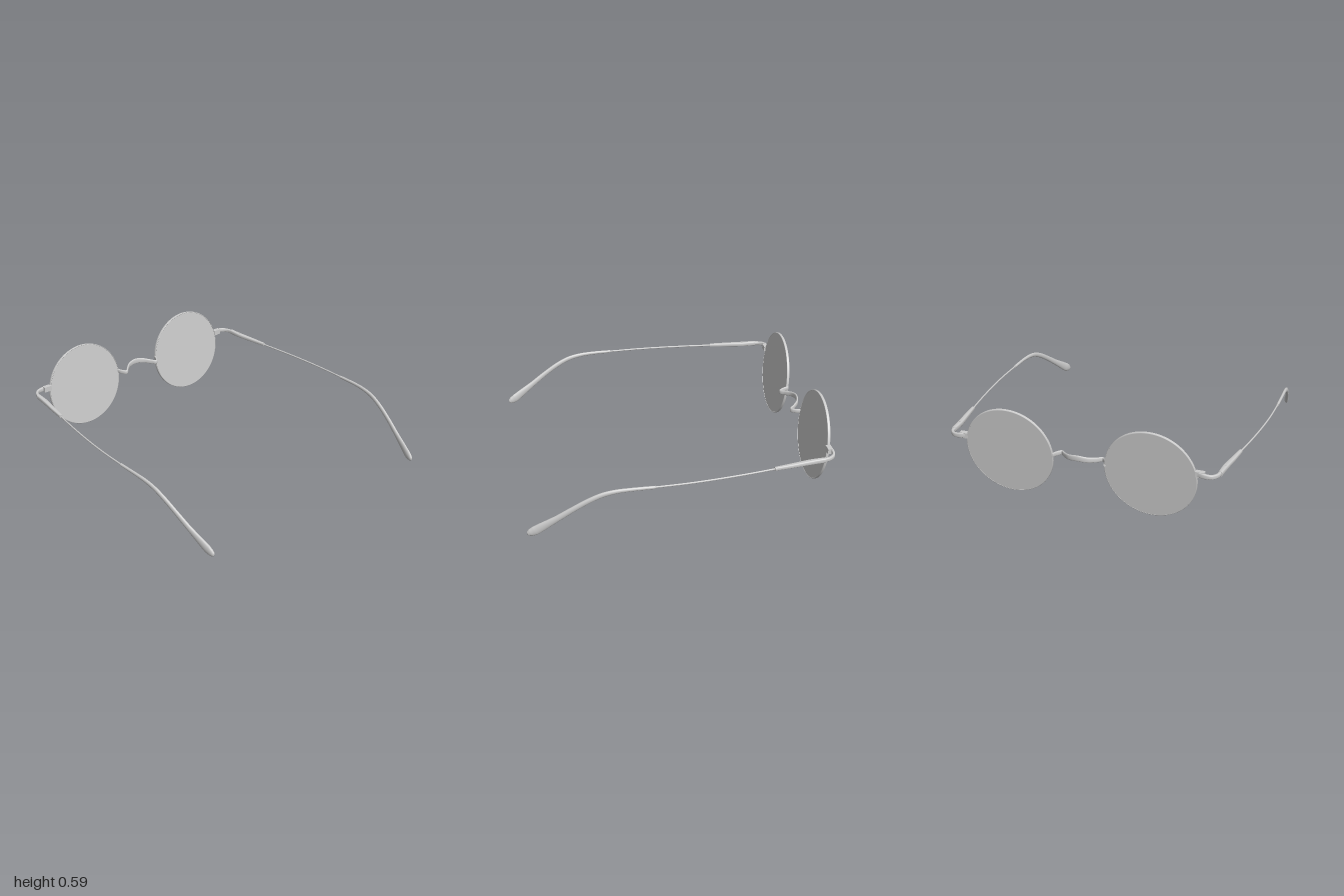
import * as THREE from 'three';

const frameMat = new THREE.MeshStandardMaterial({ color: 0xcccccc });
const lensMat = new THREE.MeshStandardMaterial({ color: 0xcccccc, side: THREE.DoubleSide });
const UP = new THREE.Vector3(0, 1, 0);

// Sweeps a rounded section along stations [x, y, z, halfWidth, halfHeight].
// power < 1 makes the section boxier.
function sweep(name, stations, { steps = 8, sides = 16, power = 1 } = {}) {
  const curve = new THREE.CatmullRomCurve3(stations.map(s => new THREE.Vector3(s[0], s[1], s[2])));
  const n = (stations.length - 1) * steps;
  const pos = [], idx = [];
  const soft = v => Math.sign(v) * Math.pow(Math.abs(v), power);
  const ring = t => {
    const f = t * (stations.length - 1);
    const i = Math.min(Math.floor(f), stations.length - 2);
    const w = THREE.MathUtils.lerp(stations[i][3], stations[i + 1][3], f - i);
    const h = THREE.MathUtils.lerp(stations[i][4], stations[i + 1][4], f - i);
    const p = curve.getPoint(t), tan = curve.getTangent(t);
    const side = UP.clone().cross(tan).normalize();
    const vert = tan.clone().cross(side);
    for (let k = 0; k < sides; k++) {
      const a = (k / sides) * Math.PI * 2;
      const q = p.clone().addScaledVector(side, w * soft(Math.cos(a))).addScaledVector(vert, h * soft(Math.sin(a)));
      pos.push(q.x, q.y, q.z);
    }
    return p;
  };
  for (let j = 0; j <= n; j++) ring(j / n);
  for (let j = 0; j < n; j++) {
    for (let k = 0; k < sides; k++) {
      const a = j * sides + k, b = j * sides + (k + 1) % sides;
      idx.push(a, b, a + sides, b, b + sides, a + sides);
    }
  }
  // end caps on their own vertices so the edges stay sharp
  for (const end of [0, 1]) {
    const start = pos.length / 3;
    const c = ring(end);
    pos.push(c.x, c.y, c.z);
    for (let k = 0; k < sides; k++) {
      const a = start + k, b = start + (k + 1) % sides;
      if (end) idx.push(start + sides, a, b);
      else idx.push(start + sides, b, a);
    }
  }
  const geo = new THREE.BufferGeometry();
  geo.setAttribute('position', new THREE.Float32BufferAttribute(pos, 3));
  geo.setIndex(idx);
  geo.computeVertexNormals();
  const mesh = new THREE.Mesh(geo, frameMat);
  mesh.name = name;
  return mesh;
}

// Tilted round lens, almost flush with its thin rim
function lensUnit(s) {
  const unit = new THREE.Group();
  unit.name = 'lensAndRim';
  const lens = new THREE.Mesh(new THREE.CylinderGeometry(0.29, 0.29, 0.015, 72), lensMat);
  lens.name = 'lens';
  const section = [[0.289, -0.009], [0.292, -0.009], [0.294, -0.006], [0.294, 0.006], [0.292, 0.009], [0.289, 0.009], [0.289, -0.009]];
  const rim = new THREE.Mesh(new THREE.LatheGeometry(section.map(p => new THREE.Vector2(...p)), 72), frameMat);
  rim.name = 'rim';
  unit.add(lens, rim);
  unit.rotation.x = Math.PI / 2 - 0.105;
  unit.position.set(s * 0.4625, 0.298, -0.952);
  return unit;
}

// Everything on one side: lens, end piece, hinge and temple
function sidePiece(s) {
  const g = new THREE.Group();
  g.name = s > 0 ? 'leftSide' : 'rightSide';
  const m = list => list.map(p => [s * p[0], ...p.slice(1)]);
  g.add(lensUnit(s));

  // block holding the rim
  const block = new THREE.Mesh(new THREE.BoxGeometry(0.055, 0.036, 0.032), frameMat);
  block.name = 'rimBlock';
  block.position.set(s * 0.772, 0.357, -0.956);
  g.add(block);

  g.add(sweep('endPiece', m([
    [0.755, 0.358, -0.962, 0.009, 0.018],
    [0.80, 0.355, -0.970, 0.009, 0.016],
    [0.84, 0.352, -0.963, 0.009, 0.014],
    [0.868, 0.350, -0.932, 0.010, 0.013],
    [0.879, 0.349, -0.88, 0.012, 0.013],
  ]), { power: 0.6 }));

  g.add(sweep('hingeArm', m([
    [0.878, 0.349, -0.90, 0.014, 0.016],
    [0.884, 0.347, -0.80, 0.017, 0.015],
    [0.900, 0.345, -0.68, 0.015, 0.013],
    [0.915, 0.343, -0.56, 0.011, 0.011],
  ]), { power: 0.6 }));

  // small hinge screw
  const screw = new THREE.Mesh(new THREE.CylinderGeometry(0.007, 0.007, 0.033, 12), frameMat);
  screw.name = 'hingeScrew';
  screw.position.set(s * 0.885, 0.347, -0.80);
  g.add(screw);

  g.add(sweep('templeWire', m([
    [0.914, 0.342, -0.57, 0.005, 0.006],
    [0.936, 0.339, -0.40, 0.005, 0.006],
    [0.956, 0.336, -0.20, 0.005, 0.006],
    [0.968, 0.333, 0.0, 0.005, 0.006],
    [0.970, 0.330, 0.22, 0.005, 0.006],
  ])));

  // gently bent cover, flaring into a paddle at the end
  g.add(sweep('templeTip', m([
    [0.970, 0.330, 0.20, 0.009, 0.010],
    [0.967, 0.328, 0.35, 0.009, 0.012],
    [0.962, 0.321, 0.44, 0.010, 0.014],
    [0.956, 0.303, 0.52, 0.010, 0.016],
    [0.947, 0.267, 0.60, 0.011, 0.017],
    [0.932, 0.206, 0.70, 0.011, 0.018],
    [0.913, 0.137, 0.80, 0.012, 0.021],
    [0.894, 0.077, 0.89, 0.013, 0.029],
    [0.884, 0.047, 0.935, 0.014, 0.032],
    [0.879, 0.033, 0.962, 0.013, 0.026],
    [0.876, 0.025, 0.978, 0.010, 0.016],
    [0.875, 0.022, 0.984, 0.004, 0.005],
  ])));
  return g;
}

// Curved nose bridge, mirrored from one half
function bridge() {
  const half = [
    [0.175, 0.316, -0.962, 0.007, 0.014],
    [0.160, 0.312, -0.920, 0.007, 0.015],
    [0.135, 0.311, -0.893, 0.007, 0.015],
    [0.105, 0.315, -0.922, 0.007, 0.016],
    [0.060, 0.324, -0.958, 0.007, 0.018],
  ];
  const other = half.map(p => [-p[0], ...p.slice(1)]).reverse();
  return sweep('bridge', [...half, [0, 0.331, -0.970, 0.007, 0.020], ...other], { power: 0.75 });
}

export function createModel() {
  const glasses = new THREE.Group();
  glasses.name = 'glasses';
  glasses.add(sidePiece(1), sidePiece(-1), bridge());
  // the pair sits very slightly turned
  glasses.rotation.y = 0.0137;
  glasses.position.x = -0.004;
  const model = new THREE.Group();
  model.name = 'roundSpectacles';
  model.add(glasses);
  return model;
}
